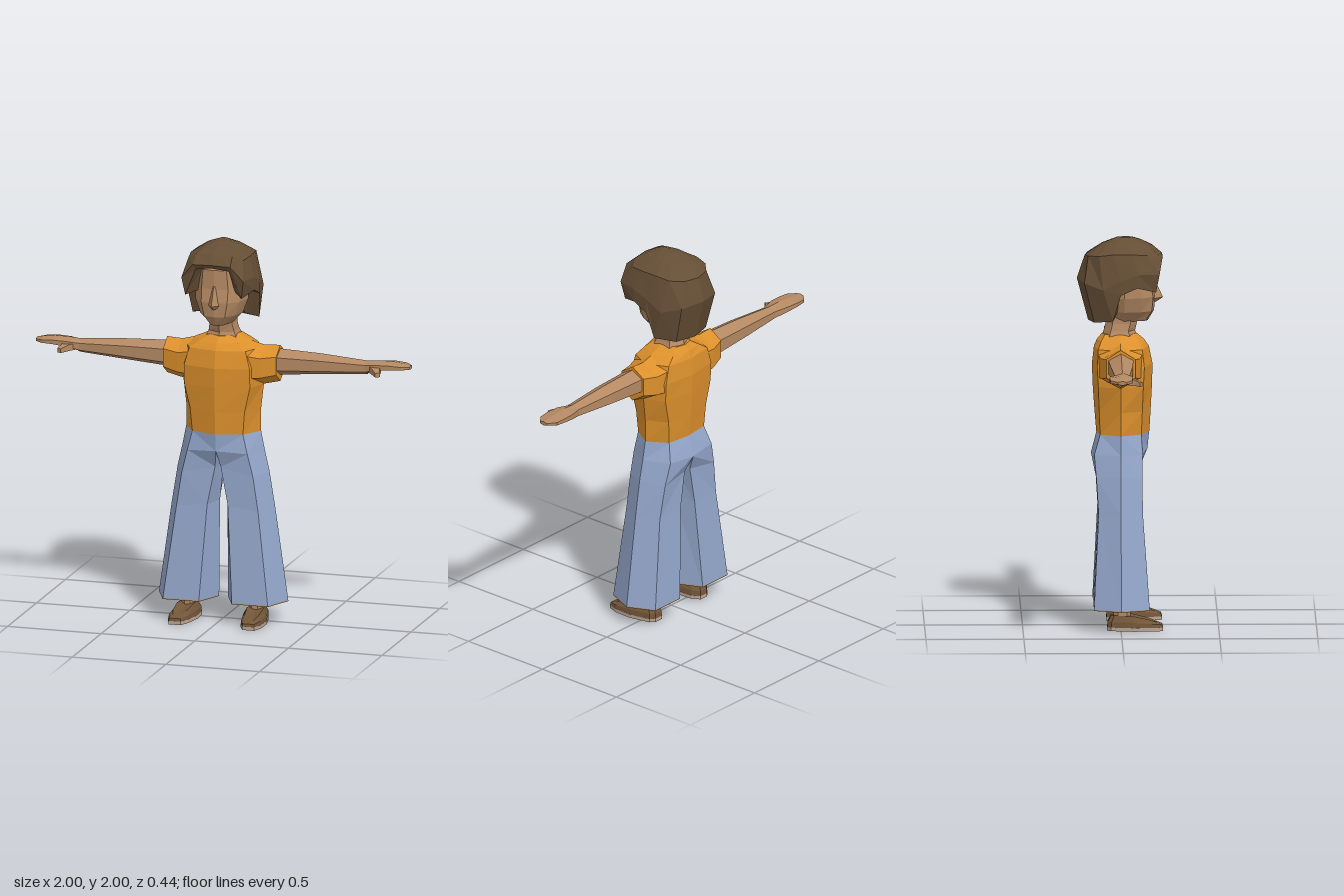
import * as THREE from 'three';

const mat = (name, color, side = THREE.FrontSide) => {
  const m = new THREE.MeshStandardMaterial({ color, flatShading: true, side });
  m.name = name;
  return m;
};

// Flat-faced closed skin over matching rings of [x, y, z] points, capped at both ends
function loft(rings) {
  const tris = [], n = rings[0].length;
  const centre = (r) => [0, 1, 2].map((k) => r.reduce((s, p) => s + p[k], 0) / n);
  const first = rings[0], last = rings[rings.length - 1];
  const c0 = centre(first), c1 = centre(last);
  for (let j = 0; j < n; j++) {
    const k = (j + 1) % n;
    for (let i = 0; i < rings.length - 1; i++) {
      const a = rings[i][j], b = rings[i][k], c = rings[i + 1][k], d = rings[i + 1][j];
      tris.push([a, b, c], [a, c, d]);
    }
    tris.push([c0, first[k], first[j]], [c1, last[j], last[k]]);
  }
  // Turn the faces outwards, using the signed volume about the first centre
  const o = new THREE.Vector3(...c0);
  let volume = 0;
  for (const t of tris) {
    const [a, b, c] = t.map((p) => new THREE.Vector3(...p).sub(o));
    volume += a.dot(b.cross(c));
  }
  if (volume < 0) tris.forEach((t) => t.reverse());
  const g = new THREE.BufferGeometry();
  g.setAttribute('position', new THREE.Float32BufferAttribute(tris.flat(2), 3));
  g.computeVertexNormals();
  return g;
}

// Half outline (front centre to back centre) completed with its mirror image
const mirrorRing = (half) => [...half, ...half.slice(1, -1).reverse().map(([x, y, z]) => [-x, y, z])];
// Limb section across x: hexagon with a point at top and bottom
const hexX = (x, top, bottom, zf, zb) => {
  const m = (top + bottom) / 2, h = (top - bottom) / 4, z = (zf + zb) / 2;
  return [[x, top, z], [x, m + h, zf], [x, m - h, zf], [x, bottom, z], [x, m - h, zb], [x, m + h, zb]];
};

export function createModel() {
  const skin = mat('skin', 0xb48963);
  const hair = mat('hair', 0x654e35, THREE.DoubleSide);
  const shirt = mat('shirt orange', 0xdc902c);
  const denim = mat('trouser blue', 0x94a7cb);
  const leather = mat('shoe brown', 0x725639);
  const soleMat = mat('sole beige', 0xbca596);

  const model = new THREE.Group();
  model.name = 'figure';
  const add = (name, rings, material, parent = model) => {
    const mesh = new THREE.Mesh(loft(rings), material);
    mesh.name = name;
    parent.add(mesh);
  };

  // Shirt body: y, half width, corner x, front z, front corner z, back corner z, back z
  const torso = [
    [1.0, 0.2, 0.135, 0.148, 0.105, -0.105, -0.123],
    [1.12, 0.2, 0.145, 0.155, 0.11, -0.11, -0.133],
    [1.25, 0.215, 0.175, 0.162, 0.115, -0.115, -0.142],
    [1.35, 0.22, 0.175, 0.164, 0.12, -0.12, -0.145],
    [1.44, 0.2, 0.15, 0.145, 0.11, -0.115, -0.135],
    [1.475, 0.15, 0.1, 0.12, 0.09, -0.1, -0.12],
    [1.505, 0.08, 0.055, 0.085, 0.06, -0.08, -0.095],
  ];
  add('shirtBody', torso.map(([y, w, c, zf, zc, bc, zb]) =>
    mirrorRing([[0, y, zf], [c, y, zc], [w, y, 0], [c, y, bc], [0, y, zb]])), shirt);

  // Neck
  const neck = [[1.47, 0.09, 0.09, -0.1], [1.522, 0.068, 0.075, -0.085], [1.56, 0.06, 0.085, -0.075], [1.66, 0.06, 0.085, -0.08]];
  add('neck', neck.map(([y, w, f, b]) =>
    mirrorRing([[0, y, f], [w, y, f - 0.035], [w, y, b + 0.035], [0, y, b]])), skin);

  // Head: y, half width, front z, back z
  const head = [
    [1.572, 0.06, 0.14, -0.03], [1.625, 0.11, 0.172, -0.08], [1.7, 0.138, 0.178, -0.12],
    [1.77, 0.142, 0.166, -0.13], [1.87, 0.125, 0.168, -0.13], [1.94, 0.075, 0.1, -0.08],
  ];
  add('head', head.map(([y, w, f, b]) => mirrorRing([
    [0, y, f], [w * 0.5, y, f - 0.012], [w * 0.85, y, f - 0.07], [w, y, 0.02], [w * 0.7, y, b * 0.7], [0, y, b]])), skin);

  // Nose
  add('nose', [
    [[-0.015, 1.785, 0.15], [0, 1.785, 0.172], [0.015, 1.785, 0.15]],
    [[-0.036, 1.685, 0.16], [0, 1.69, 0.218], [0.036, 1.685, 0.16]],
    [[-0.02, 1.665, 0.16], [0, 1.665, 0.18], [0.02, 1.665, 0.16]],
  ], skin);

  // Hair: strands from crown to tip, listed from the fringe round to the back
  const strands = [
    [[0, 1.987, 0.11], [0, 1.955, 0.17], [0, 1.908, 0.215], [0, 1.89, 0.205]],
    [[0.06, 1.982, 0.1], [0.095, 1.95, 0.16], [0.1, 1.905, 0.213], [0.088, 1.88, 0.2]],
    [[0.08, 1.975, 0.075], [0.145, 1.925, 0.135], [0.165, 1.83, 0.198], [0.15, 1.735, 0.18]],
    [[0.085, 1.978, 0.03], [0.157, 1.93, 0.06], [0.188, 1.83, 0.09], [0.19, 1.762, 0.085]],
    [[0.085, 1.976, -0.02], [0.155, 1.93, -0.04], [0.192, 1.8, 0], [0.194, 1.725, 0]],
    [[0.07, 1.972, -0.06], [0.14, 1.92, -0.11], [0.185, 1.75, -0.09], [0.178, 1.59, -0.04]],
    [[0.045, 1.968, -0.09], [0.085, 1.915, -0.165], [0.13, 1.78, -0.185], [0.115, 1.575, -0.135]],
    [[0, 1.967, -0.1], [0, 1.91, -0.182], [0, 1.79, -0.222], [0, 1.575, -0.165]],
  ];
  const level = (i) => mirrorRing(strands.map((s) => s[i]));
  const crown = level(0).map(([x, , z]) => [x * 0.3, 2, 0.02 + z * 0.4]);
  const lining = level(3).map(([x, y, z]) => [x * 0.65, y + 0.015, z * 0.65]);
  add('hair', [crown, level(0), level(1), level(2), level(3), lining], hair);

  for (const s of [1, -1]) {
    const side = new THREE.Group();
    side.name = s > 0 ? 'leftLimbs' : 'rightLimbs';
    model.add(side);
    const part = (name, rings, material) =>
      add(name, rings.map((r) => r.map(([x, y, z]) => [s * x, y, z])), material, side);

    // Sleeve
    part('sleeve', [
      hexX(0.13, 1.478, 1.24, 0.115, -0.12),
      hexX(0.22, 1.455, 1.25, 0.095, -0.1),
      hexX(0.302, 1.46, 1.27, 0.072, -0.076),
    ], shirt);

    // Arm and mitten hand
    part('arm', [
      hexX(0.28, 1.442, 1.303, 0.064, -0.066), hexX(0.52, 1.432, 1.322, 0.054, -0.056),
      hexX(0.77, 1.413, 1.343, 0.036, -0.038),
    ], skin);
    part('hand', [
      hexX(0.76, 1.413, 1.343, 0.036, -0.038), hexX(0.83, 1.418, 1.362, 0.05, -0.062),
      hexX(0.9, 1.416, 1.374, 0.05, -0.07), hexX(0.96, 1.41, 1.378, 0.046, -0.064),
      hexX(0.998, 1.404, 1.382, 0.018, -0.028),
    ], skin);
    part('thumb', [
      [[0.775, 1.395, 0.02], [0.85, 1.395, 0.03], [0.85, 1.36, 0.03], [0.775, 1.36, 0.02]],
      [[0.81, 1.39, 0.065], [0.85, 1.388, 0.065], [0.85, 1.358, 0.065], [0.81, 1.358, 0.065]],
      [[0.84, 1.376, 0.1], [0.862, 1.376, 0.086], [0.862, 1.354, 0.086], [0.84, 1.354, 0.1]],
    ], skin);

    // Flared trouser leg with its half of the hips
    const hem = (y) => [[0.345, y, 0], [0.28, y, 0.146], [0.088, y, 0.146], [0.024, y, 0], [0.088, y, -0.138], [0.28, y, -0.138]];
    part('trouserLeg', [
      [[0.2, 1, 0], [0.135, 1, 0.105], [0, 1, 0.147], [0, 1, 0], [0, 1, -0.122], [0.135, 1, -0.105]],
      [[0.22, 0.9, 0], [0.16, 0.9, 0.112], [0, 0.91, 0.138], [0, 0.9, 0], [0, 0.89, -0.15], [0.16, 0.9, -0.135]],
      [[0.245, 0.79, 0], [0.19, 0.78, 0.11], [0.015, 0.82, 0.1], [0, 0.81, 0], [0.02, 0.8, -0.11], [0.19, 0.78, -0.125]],
      [[0.276, 0.6, 0], [0.218, 0.6, 0.112], [0.055, 0.62, 0.108], [0.02, 0.62, 0], [0.055, 0.6, -0.112], [0.218, 0.6, -0.114]],
      hem(0.118),
    ], denim);
    part('trouserLining', [hem(0.118), hem(0.112)], skin);

    // Ankle
    const ankle = (y) => [[0.215, y, 0.03], [0.195, y, 0.05], [0.165, y, 0.05], [0.145, y, 0.03],
      [0.145, y, -0.015], [0.165, y, -0.038], [0.195, y, -0.038], [0.215, y, -0.015]];
    part('ankle', [ankle(0.05), ankle(0.13)], skin);

    // Shoe and sole, toes turned slightly outwards; inset k narrows the outline
    const foot = (k, heights) => [
      [0.225, -0.05], [0.25, 0.06], [0.247, 0.16], [0.228, 0.215],
      [0.165, 0.215], [0.14, 0.16], [0.12, 0.06], [0.125, -0.03], [0.15, -0.07], [0.2, -0.07],
    ].map(([x, z], i) => [0.187 + (x - 0.187) * k, heights[i], 0.04 + (z - 0.04) * Math.sqrt(k)]);
    const flat = (y) => Array(10).fill(y);
    part('sole', [foot(1, flat(0)), foot(1, flat(0.018))], soleMat);
    part('shoe', [
      foot(0.99, flat(0.018)),
      foot(0.95, [0.045, 0.045, 0.038, 0.032, 0.032, 0.038, 0.045, 0.045, 0.045, 0.045]),
      foot(0.68, [0.078, 0.078, 0.06, 0.044, 0.044, 0.06, 0.078, 0.078, 0.078, 0.078]),
    ], leather);
  }
  return model;
}
